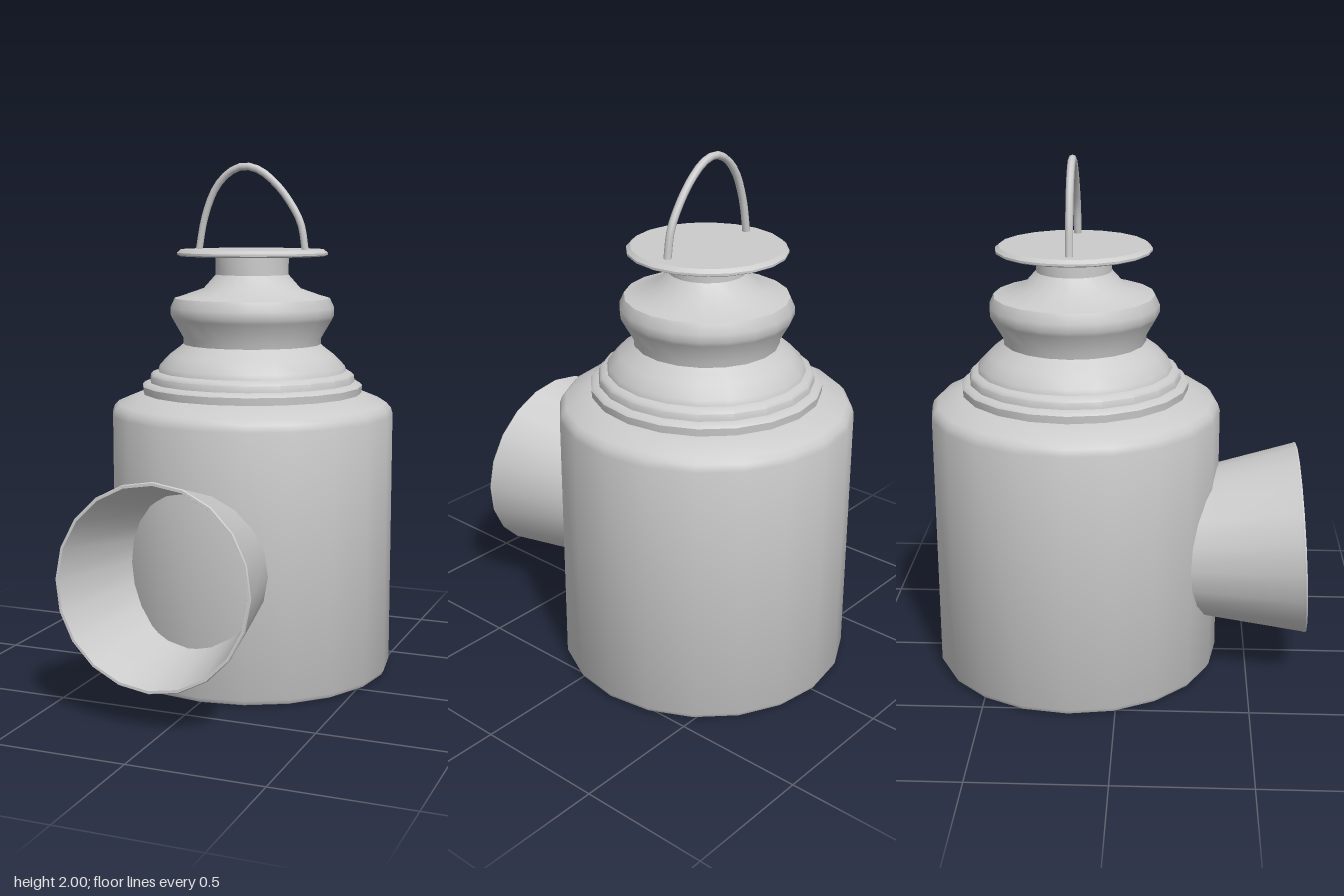
import * as THREE from 'three';
import { toCreasedNormals } from 'three/addons/utils/BufferGeometryUtils.js';

const material = new THREE.MeshStandardMaterial({ color: 0xcccccc });
const SIDES = 20;
const AXIS_Z = -0.175;

function mesh(name, geometry) {
  const m = new THREE.Mesh(geometry, material);
  m.name = name;
  return m;
}

// Turned part from [radius, height] pairs, outside surface running upwards
function turned(name, profile) {
  const points = profile.map(([r, y]) => new THREE.Vector2(r, y));
  const m = mesh(name, toCreasedNormals(new THREE.LatheGeometry(points, SIDES), 0.62));
  m.position.z = AXIS_Z;
  return m;
}

export function createModel() {
  const group = new THREE.Group();
  group.name = 'lantern';

  // Main drum with rounded shoulder
  group.add(turned('body', [
    [0, 0], [0.53, 0], [0.547, 0.008], [0.556, 0.025], [0.556, 1.025],
    [0.548, 1.05], [0.53, 1.068], [0.44, 1.105], [0.4, 1.112], [0, 1.112],
  ]));

  // Stepped dome on the shoulder
  group.add(turned('dome', [
    [0.432, 1.1], [0.435, 1.135], [0.425, 1.145], [0.405, 1.15], [0.402, 1.175],
    [0.392, 1.186], [0.372, 1.192], [0.366, 1.212], [0.325, 1.255],
    [0.285, 1.285], [0.27, 1.298], [0, 1.298],
  ]));

  // Flared collar, cone and chimney neck
  group.add(turned('chimney', [
    [0.265, 1.285], [0.272, 1.3], [0.272, 1.32], [0.315, 1.395], [0.322, 1.41],
    [0.322, 1.44], [0.305, 1.477], [0.285, 1.482], [0.19, 1.515],
    [0.143, 1.568], [0.143, 1.645],
  ]));

  // Flat cap
  group.add(turned('cap', [
    [0, 1.64], [0.285, 1.64], [0.295, 1.645], [0.295, 1.653], [0.28, 1.666], [0, 1.666],
  ]));

  // Open hood around the lamp opening, tilted slightly upwards
  const hood = turned('hood', [
    [0.272, -0.48], [0.37, -0.015], [0.373, -0.006], [0.37, 0],
    [0.36, 0], [0.357, -0.008], [0.262, -0.48],
  ]);
  hood.position.set(-0.04, 0.518, 0.705);
  hood.rotation.x = Math.PI / 2 - 0.065;
  group.add(hood);

  // Wire carrying handle
  const path = new THREE.CatmullRomCurve3([
    [-0.227, 1.65], [-0.2, 1.79], [-0.155, 1.9], [-0.1, 1.96], [-0.04, 1.985],
    [0.025, 1.972], [0.1, 1.915], [0.16, 1.84], [0.2, 1.765], [0.22, 1.65],
  ].map(([x, y]) => new THREE.Vector3(x, y, 0)));
  const handle = mesh('handle', new THREE.TubeGeometry(path, 24, 0.0145, 8));
  handle.position.z = AXIS_Z;
  group.add(handle);

  return group;
}
